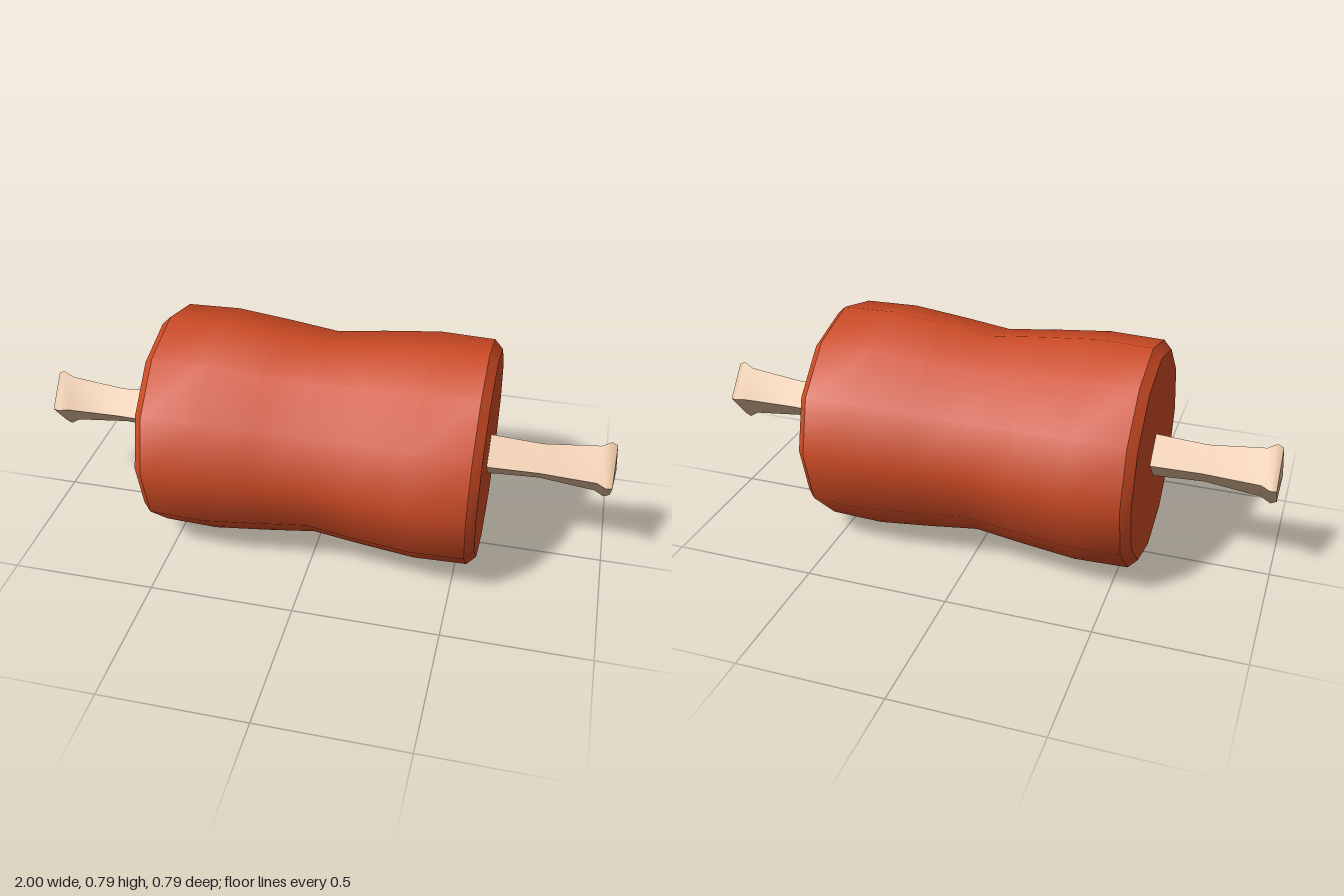
import * as THREE from 'three';
import { toCreasedNormals } from 'three/addons/utils/BufferGeometryUtils.js';

const CENTER_Y = 0.398;

// Skin of four-cornered rings along x; each ring is [x, halfHeight, halfDepth, sag of the front corner]
function diamondLoft(rings, tipX) {
  const positions = [], index = [];
  for (const [x, h, d, sag] of rings) {
    positions.push(x, h, 0, x, -sag, d, x, -h, 0, x, 0, -d);
  }
  for (let r = 0; r < rings.length - 1; r++) {
    for (let k = 0; k < 4; k++) {
      const a = r * 4 + k, b = r * 4 + (k + 1) % 4;
      index.push(a, b, b + 4, a, b + 4, a + 4);
    }
  }
  // shallow end cap
  const last = (rings.length - 1) * 4, tip = rings.length * 4;
  positions.push(tipX, 0, 0);
  for (let k = 0; k < 4; k++) index.push(last + k, last + (k + 1) % 4, tip);
  const geometry = new THREE.BufferGeometry();
  geometry.setAttribute('position', new THREE.Float32BufferAttribute(positions, 3));
  geometry.setIndex(index);
  // wind the faces outward
  for (let i = 0; i < index.length; i += 3) {
    const p = [0, 1, 2].map(j => new THREE.Vector3().fromArray(positions, index[i + j] * 3));
    const n = p[1].clone().sub(p[0]).cross(p[2].clone().sub(p[0]));
    const mid = p[0].clone().add(p[1]).add(p[2]).divideScalar(3);
    const out = index[i + 2] === tip ? new THREE.Vector3(1, 0, 0) : new THREE.Vector3(0, mid.y, mid.z);
    if (n.dot(out) < 0) {
      const swap = index[i + 1];
      index[i + 1] = index[i + 2];
      index[i + 2] = swap;
    }
  }
  geometry.setIndex(index);
  return toCreasedNormals(geometry, 0.9);
}

export function createModel() {
  const group = new THREE.Group();
  const meat = new THREE.MeshStandardMaterial({ name: 'roast red', color: 0xcc4a24 });
  const bone = new THREE.MeshStandardMaterial({ name: 'bone cream', color: 0xd9b694 });

  // Waisted twelve-sided joint with bevelled flat ends
  const half = [[0, 0.575], [0.36, 0.575], [0.39, 0.545], [0.395, 0.36], [0.376, 0.17]];
  const profile = [
    ...half.map(([r, x]) => new THREE.Vector2(r, -x)),
    new THREE.Vector2(0.356, 0),
    ...half.slice().reverse().map(([r, x]) => new THREE.Vector2(r, x)),
  ];
  const bodyGeometry = new THREE.LatheGeometry(profile, 12);
  bodyGeometry.rotateZ(-Math.PI / 2);
  const body = new THREE.Mesh(toCreasedNormals(bodyGeometry, 0.65), meat);
  body.name = 'meatBody';
  body.position.y = CENTER_Y;
  group.add(body);

  // Bone ends: thin shaft flaring into a diamond knob
  const boneGeometry = diamondLoft([
    [0.5, 0.085, 0.082, 0],
    [0.75, 0.071, 0.074, 0],
    [0.94, 0.093, 0.079, 0.005],
    [0.972, 0.113, 0.09, 0.015],
    [0.992, 0.103, 0.085, 0.015],
  ], 1);
  for (const side of [1, -1]) {
    const end = new THREE.Mesh(boneGeometry, bone);
    end.name = side > 0 ? 'leftBoneEnd' : 'rightBoneEnd';
    end.position.y = CENTER_Y;
    if (side < 0) end.rotation.y = Math.PI;
    group.add(end);
  }
  return group;
}
